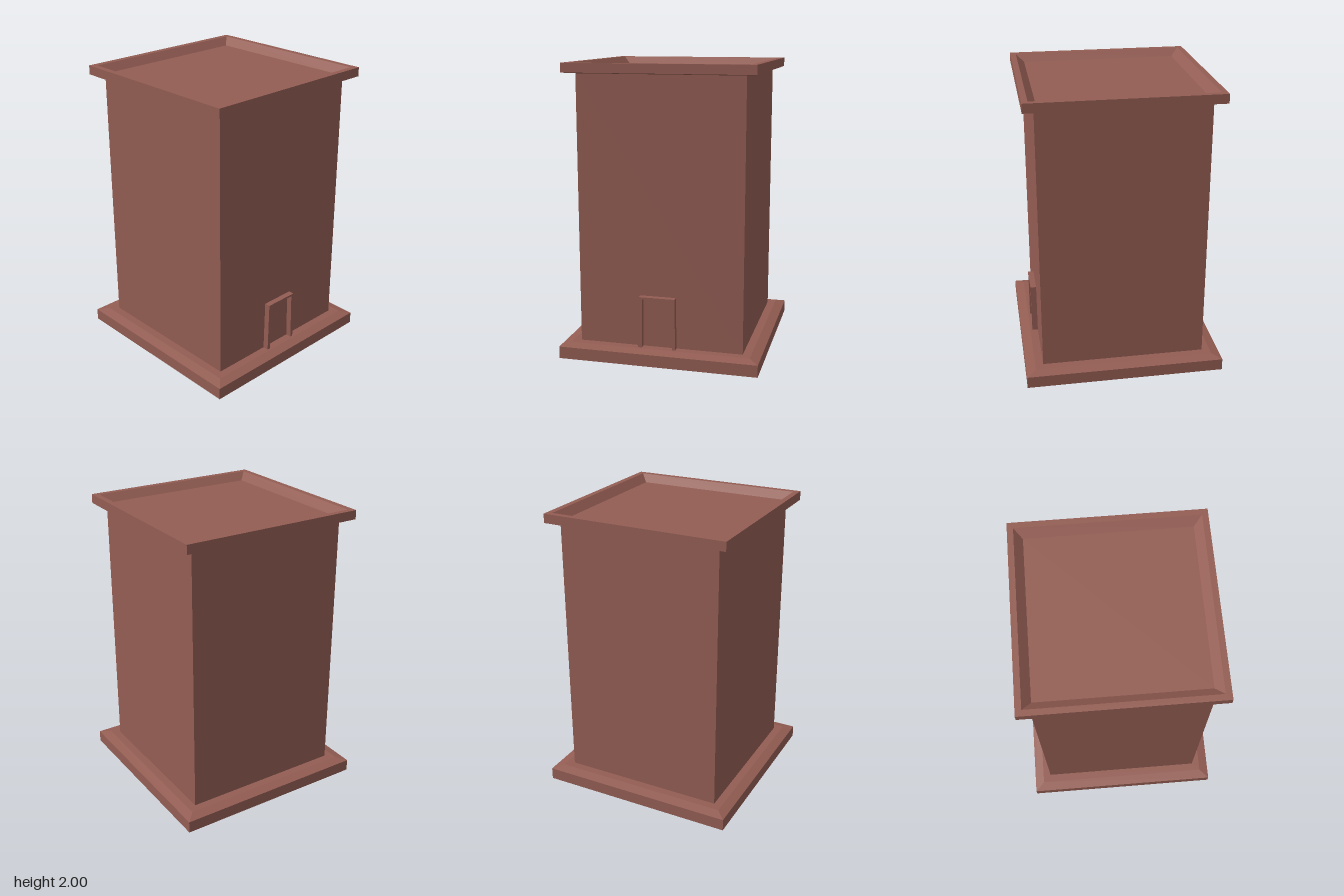
import * as THREE from 'three';

const brick = new THREE.MeshStandardMaterial({ color: 0x935d53, flatShading: true });

// Square part from a profile of [half width, height], bottom to top
function squareLoft(name, profile) {
  const points = profile.map(([half, y]) => new THREE.Vector2(half * Math.SQRT2, y));
  const geometry = new THREE.LatheGeometry(points, 4, Math.PI / 4).toNonIndexed();
  geometry.computeVertexNormals();
  const mesh = new THREE.Mesh(geometry, brick);
  mesh.name = name;
  return mesh;
}

export function createModel() {
  const model = new THREE.Group();
  model.name = 'tower';

  // Plinth with a shallow sloped top edge
  model.add(squareLoft('plinth', [[0, 0], [0.685, 0], [0.685, 0.083], [0.62, 0.1], [0.565, 0.1]]));

  // Plain square shaft
  model.add(squareLoft('walls', [[0.565, 0.1], [0.565, 1.932]]));

  // Projecting cornice, parapet and sunken roof
  model.add(squareLoft('parapetRoof', [
    [0.565, 1.932], [0.6, 1.932], [0.64, 1.938], [0.64, 2],
    [0.6, 2], [0.545, 1.95], [0, 1.95],
  ]));

  // Door surround, slightly wider at the foot
  const outline = [
    [-0.145, 0.1], [-0.12, 0.1], [-0.115, 0.44], [0.087, 0.44],
    [0.093, 0.1], [0.113, 0.1], [0.108, 0.455], [-0.138, 0.455],
  ];
  const surround = new THREE.Shape(outline.map(([x, y]) => new THREE.Vector2(x, y)));
  const doorFrame = new THREE.Mesh(
    new THREE.ExtrudeGeometry(surround, { depth: 0.045, bevelEnabled: false }), brick);
  doorFrame.position.z = 0.56;
  doorFrame.name = 'doorFrame';
  model.add(doorFrame);

  return model;
}
